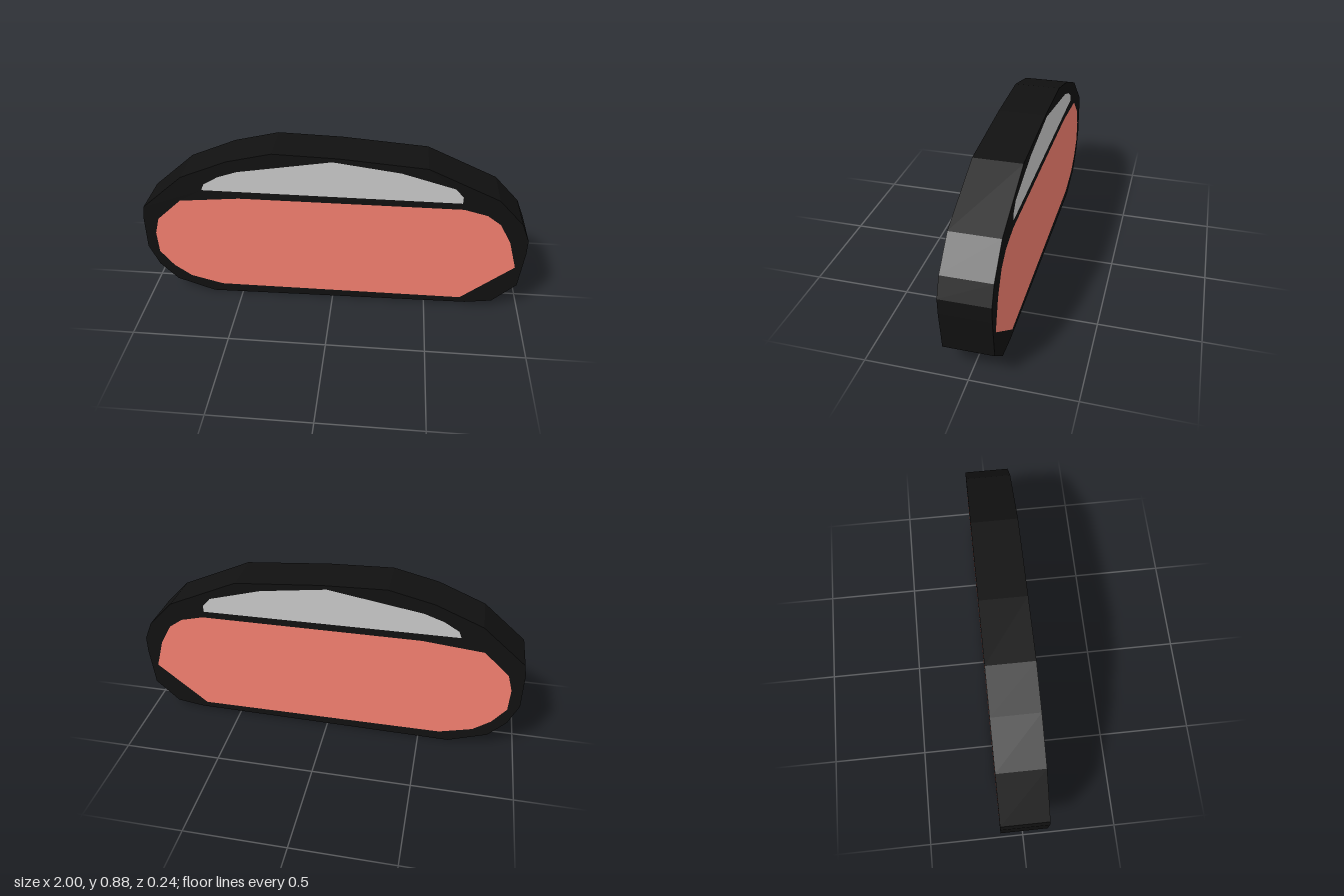
import * as THREE from 'three';

const DEPTH = 0.24;

// Faceted slab cut from a side-on outline, centred on z = 0
function slab(name, color, outline, holes = []) {
  const toPoints = (list) => list.map(([x, y]) => new THREE.Vector2(x, y));
  const shape = new THREE.Shape(toPoints(outline));
  for (const hole of holes) shape.holes.push(new THREE.Path(toPoints(hole)));
  const geometry = new THREE.ExtrudeGeometry(shape, { depth: DEPTH, bevelEnabled: false });
  geometry.translate(0, 0, -DEPTH / 2);
  const material = new THREE.MeshStandardMaterial({ color, flatShading: true });
  const mesh = new THREE.Mesh(geometry, material);
  mesh.name = name;
  return mesh;
}

export function createModel() {
  const frameOutline = [
    [-0.66, 0], [0.72, 0.02], [0.86, 0.04], [0.98, 0.155], [1, 0.36], [1, 0.44],
    [0.96, 0.535], [0.83, 0.67], [0.47, 0.83], [0.03, 0.865], [-0.3, 0.875],
    [-0.53, 0.82], [-0.77, 0.72], [-0.99, 0.53], [-1, 0.47], [-1, 0.28],
    [-0.95, 0.165], [-0.86, 0.07],
  ];
  const panelOutline = [
    [-0.61, 0.05], [0.69, 0.05], [0.955, 0.27], [0.91, 0.425], [0.85, 0.53],
    [0.78, 0.58], [0.66, 0.61], [-0.48, 0.61], [-0.79, 0.58], [-0.92, 0.46],
    [-0.945, 0.37], [-0.94, 0.25], [-0.87, 0.16], [-0.78, 0.095],
  ];
  const windowOutline = [
    [-0.67, 0.65], [0.65, 0.645], [0.65, 0.68], [0.61, 0.725], [0.34, 0.8],
    [0, 0.845], [-0.48, 0.765], [-0.58, 0.73], [-0.655, 0.685],
  ];

  const model = new THREE.Group();
  model.name = 'roundedSlab';
  // Dark frame with two openings, filled flush on both faces
  model.add(slab('frame', 0x111111, frameOutline, [panelOutline, windowOutline]));
  model.add(slab('lowerPanel', 0xf78171, panelOutline));
  model.add(slab('upperPanel', 0xcccccc, windowOutline));
  return model;
}
